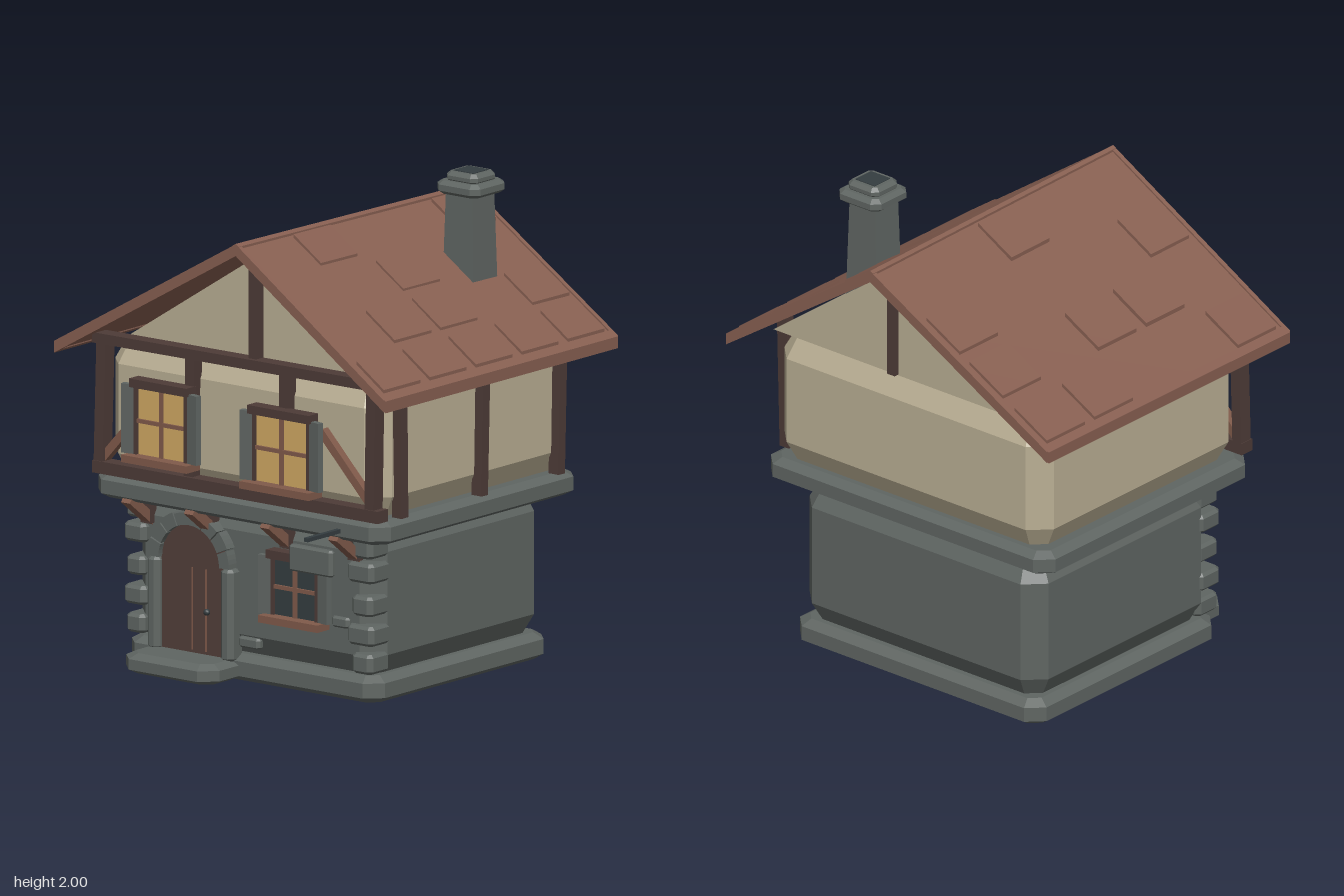
import * as THREE from 'three';

const mat = (name, color) => Object.assign(new THREE.MeshStandardMaterial({ color }), { name });

export function createModel() {
  const root = new THREE.Group();
  root.name = 'cottage';
  const stone = mat('stone', 0x5f6562);
  const plaster = mat('plaster', 0xb9ae93);
  const timber = mat('dark timber', 0x4d3b37);
  const wood = mat('red brown wood', 0x805a4a);
  const tile = mat('roof tile', 0x875f51);
  const litGlass = mat('lit glass', 0xd0a862);
  const darkGlass = mat('dark glass', 0x353d40);
  const door = mat('door wood', 0x523f3a);

  const add = (name, geometry, material, parent = root) => {
    const mesh = new THREE.Mesh(geometry, material);
    mesh.name = name;
    parent.add(mesh);
    return mesh;
  };
  // Plain box given by its limits
  const box = (name, material, x0, x1, y0, y1, z0, z1, parent) => {
    const m = add(name, new THREE.BoxGeometry(x1 - x0, y1 - y0, z1 - z0), material, parent);
    m.position.set((x0 + x1) / 2, (y0 + y1) / 2, (z0 + z1) / 2);
    return m;
  };
  // Box with every edge chamfered: c sideways, cy up and down
  const block = (name, material, x0, x1, y0, y1, z0, z1, c = 0.012, cy = c) => {
    const w = (x1 - x0) / 2 - c, d = (z1 - z0) / 2 - c, k = c;
    const shape = new THREE.Shape([
      [w, -d + k], [w, d - k], [w - k, d], [-w + k, d],
      [-w, d - k], [-w, -d + k], [-w + k, -d], [w - k, -d],
    ].map(p => new THREE.Vector2(...p)));
    const g = new THREE.ExtrudeGeometry(shape, {
      depth: y1 - y0 - 2 * cy, bevelThickness: cy, bevelSize: c, bevelSegments: 1,
    });
    g.rotateX(-Math.PI / 2);
    const m = add(name, g, material);
    m.position.set((x0 + x1) / 2, y0 + cy, (z0 + z1) / 2);
    return m;
  };
  // Square beam between two points
  const beam = (name, material, a, b, w, d) => {
    const from = new THREE.Vector3(...a), to = new THREE.Vector3(...b);
    const m = add(name, new THREE.BoxGeometry(w, from.distanceTo(to), d), material);
    m.position.copy(from).lerp(to, 0.5);
    m.quaternion.setFromUnitVectors(new THREE.Vector3(0, 1, 0), to.sub(from).normalize());
    return m;
  };

  // Main masses
  block('plinth', stone, -0.68, 0.61, 0.0, 0.11, -0.67, 0.46, 0.04, 0.025);
  block('lowerWall', stone, -0.66, 0.59, 0.1, 0.7, -0.65, 0.435, 0.05, 0.09);
  block('floorSlab', stone, -0.745, 0.745, 0.685, 0.785, -0.69, 0.59, 0.04, 0.022);
  block('upperWall', plaster, -0.705, 0.705, 0.775, 1.33, -0.67, 0.55, 0.05, 0.095);

  // Gable block under the roof
  const gable = new THREE.Shape();
  gable.moveTo(-0.63, 1.325);
  gable.lineTo(0.72, 1.325);
  gable.lineTo(0.085, 1.78);
  const gableGeo = new THREE.ExtrudeGeometry(gable, { depth: 1.18, bevelEnabled: false });
  add('gable', gableGeo, plaster).position.z = -0.64;

  // Roof pieces follow the two slopes; the ridge dips slightly to the back
  const ridgeX = 0.085, eave = 0.84, eaveY = 1.315;
  const roofPiece = (name, x0, x1, z0, z1, t0, t1, material = tile) => {
    const g = new THREE.BoxGeometry(x1 - x0, t1 - t0, z1 - z0);
    g.translate((x0 + x1) / 2, (t0 + t1) / 2, (z0 + z1) / 2);
    const p = g.attributes.position;
    const side = x0 + x1 > 2 * ridgeX ? 1 : -1;
    for (let i = 0; i < p.count; i++) {
      const u = (p.getX(i) - ridgeX) / (side * eave - ridgeX);
      const top = 1.833 + 0.0135 * p.getZ(i);
      p.setY(i, eaveY + (top - eaveY) * (1 - u) + p.getY(i));
    }
    g.computeVertexNormals();
    return add(name, g, material);
  };
  for (const s of [-1, 1]) {
    const span = (a, b) => (s < 0 ? [-b, -a] : [a, b]);
    const slope = s < 0 ? [-eave, ridgeX] : [ridgeX, eave];
    roofPiece('roofSlope', ...slope, -0.78, 0.68, -0.035, 0);
    roofPiece('roofEdgeFront', ...slope, 0.67, 0.69, -0.04, 0.008);
    roofPiece('roofEdgeBack', ...slope, -0.79, -0.77, -0.04, 0.008);
    roofPiece('eaveTrim', ...span(0.812, 0.845), -0.785, 0.685, -0.04, 0.008);
    roofPiece('ridgeTrim', ...(s < 0 ? [0.07, ridgeX] : [ridgeX, 0.1]), -0.79, 0.69, -0.02, 0.01);
  }
  // Raised tiles: [x start, x end, rows along z]
  const tiles = [
    [-0.805, -0.635, [0, 1, 5]], [-0.575, -0.4, [0, 2, 3]], [-0.35, -0.175, [0, 4.99]],
    [-0.12, 0.055, [2]], [0.11, 0.25, [0, 3]], [0.295, 0.435, [2]],
    [0.48, 0.625, [0, 2, 3]], [0.665, 0.805, [0, 1, 2, 3, 4]],
  ];
  for (const [x0, x1, rows] of tiles) {
    for (const r of rows) {
      const z0 = -0.75 + Math.min(Math.round(r), 4) * 0.291;
      roofPiece('roofTile', x0, x1, z0, z0 + 0.232, -0.005, 0.014);
    }
  }

  // Chimney
  const shaft = add('chimneyShaft', new THREE.CylinderGeometry(0.096, 0.112, 0.46, 4, 1), stone);
  shaft.geometry = shaft.geometry.rotateY(Math.PI / 4).toNonIndexed();
  shaft.geometry.computeVertexNormals();
  shaft.position.set(0.397, 1.7, -0.405);
  block('chimneyBand', stone, 0.29, 0.51, 1.91, 1.965, -0.515, -0.3, 0.02, 0.015);
  block('chimneyTop', stone, 0.32, 0.48, 1.955, 2.0, -0.485, -0.33, 0.015);
  box('chimneyOpening', darkGlass, 0.35, 0.45, 1.99, 2.003, -0.455, -0.36);

  // Front timber frame
  box('bottomRail', timber, -0.715, 0.74, 0.79, 0.84, 0.54, 0.605);
  beam('topRail', timber, [-0.715, 1.34, 0.572], [0.72, 1.347, 0.572], 0.042, 0.065);
  beam('cornerPost', timber, [-0.69, 0.8, 0.57], [-0.675, 1.34, 0.57], 0.045, 0.06);
  beam('cornerPost', timber, [0.69, 0.8, 0.57], [0.7, 1.34, 0.57], 0.045, 0.06);
  beam('middlePost', timber, [-0.238, 0.82, 0.567], [-0.228, 1.34, 0.567], 0.045, 0.05);
  beam('middlePost', timber, [0.25, 0.82, 0.567], [0.25, 1.34, 0.567], 0.045, 0.05);
  box('gablePost', timber, 0.065, 0.105, 1.35, 1.79, 0.53, 0.585);
  box('gablePostBack', timber, 0.065, 0.105, 1.33, 1.78, -0.665, -0.63);
  beam('brace', wood, [-0.68, 0.85, 0.565], [-0.48, 1.07, 0.565], 0.035, 0.04);
  beam('brace', wood, [0.67, 0.87, 0.565], [0.43, 1.12, 0.565], 0.035, 0.04);
  for (const z of [0.435, -0.068, -0.555]) {
    beam('sidePost', timber, [0.718, 0.785, z], [0.722, 1.36, z + 0.012 * Math.sign(z)], 0.05, 0.042);
  }

  // Windows with frame, glazing bars, sill and shutters
  const addWindow = (x, y, z, w, h, glass) => {
    const g = new THREE.Group();
    g.name = 'window';
    g.position.set(x, y, z);
    root.add(g);
    box('glass', glass, -w, w, -h, h, -0.02, 0.012, g);
    box('lintel', timber, -w - 0.025, w + 0.025, h, h + 0.035, -0.02, 0.04, g);
    box('sill', wood, -w - 0.045, w + 0.045, -h - 0.03, -h, -0.02, 0.065, g);
    box('glazingBarUpright', wood, -0.008, 0.008, -h, h, 0.01, 0.022, g);
    box('glazingBarCross', wood, -w, w, -0.008, 0.008, 0.01, 0.022, g);
    for (const s of [-1, 1]) {
      const jamb = box('frameSide', timber, -0.007, 0.007, -h, h, -0.02, 0.025, g);
      jamb.position.x = s * (w + 0.006);
      const shutter = box('shutter', stone, -0.029, 0.029, -h, h + 0.008, -0.013, 0.013, g);
      shutter.position.x = s * (w + 0.043);
      shutter.position.z = 0.016;
      shutter.rotation.y = -s * 0.2;
    }
  };
  addWindow(-0.353, 1.038, 0.6, 0.122, 0.137, litGlass);
  addWindow(0.26, 1.018, 0.6, 0.132, 0.137, litGlass);
  addWindow(0.208, 0.42, 0.45, 0.106, 0.115, darkGlass);

  // Arched door with stone surround
  const doorX = -0.32, spring = 0.455;
  const doorShape = new THREE.Shape();
  doorShape.moveTo(-0.158, 0.08);
  doorShape.lineTo(0.158, 0.08);
  doorShape.absarc(0, spring, 0.158, 0, Math.PI, false);
  const doorGeo = new THREE.ExtrudeGeometry(doorShape, { depth: 0.06, bevelEnabled: false, curveSegments: 10 });
  add('door', doorGeo, door).position.set(doorX, 0, 0.4);
  for (const x of [-0.32, -0.25]) box('plankGap', wood, x - 0.003, x + 0.003, 0.1, 0.435, 0.459, 0.463);
  add('doorKnob', new THREE.SphereGeometry(0.014, 8, 6), darkGlass).position.set(-0.238, 0.265, 0.472);
  const wedges = 8;
  for (let i = 0; i < wedges; i++) {
    const a = (Math.PI * i) / wedges + 0.015, b = (Math.PI * (i + 1)) / wedges - 0.015;
    const s = new THREE.Shape();
    s.absarc(0, 0, i % 2 ? 0.212 : 0.205, a, b, false);
    s.absarc(0, 0, 0.155, b, a, true);
    const g = new THREE.ExtrudeGeometry(s, { depth: 0.085, bevelEnabled: false, curveSegments: 2 });
    add('archStone', g, stone).position.set(doorX, spring, 0.4);
  }
  for (const s of [-1, 1]) {
    const x = doorX + s * 0.187;
    block('doorJamb', stone, x - 0.032, x + 0.032, 0.08, spring, 0.4, 0.49);
  }
  block('doorStep', stone, -0.56, -0.085, 0.005, 0.088, 0.38, 0.645, 0.04, 0.02);

  // Corner stones and loose wall stones
  [0.635, 0.535, 0.4, 0.28, 0.165].forEach((y, i) => {
    const e = i % 2 ? 0 : 0.012;
    block('cornerStoneRight', stone, -0.672 + e, -0.56 - e / 2, y - 0.038, y + 0.038, 0.34, 0.47);
    block('cornerStoneLeft', stone, 0.465 + 2 * e, 0.6 - e / 2, y - 0.04, y + 0.04, 0.34, 0.47);
  });
  for (const [x, y, w] of [[-0.045, 0.163, 0.055], [0.42, 0.315, 0.045], [0.19, 0.575, 0.03]]) {
    block('wallStone', stone, x - w, x + w, y - 0.022, y + 0.022, 0.41, 0.452, 0.008);
  }

  // Brackets under the overhang
  for (const x of [-0.56, -0.24, 0.147, 0.495]) {
    beam('bracket', wood, [x, 0.7, 0.575], [x, 0.59, 0.43], 0.045, 0.04);
    box('bracketPad', timber, x - 0.025, x + 0.025, 0.58, 0.695, 0.42, 0.46);
  }

  // Hanging sign board
  box('signArm', darkGlass, 0.52, 0.54, 0.722, 0.738, 0.56, 0.798);
  block('signBoard', stone, 0.415, 0.637, 0.585, 0.692, 0.735, 0.772, 0.008);

  return root;
}
